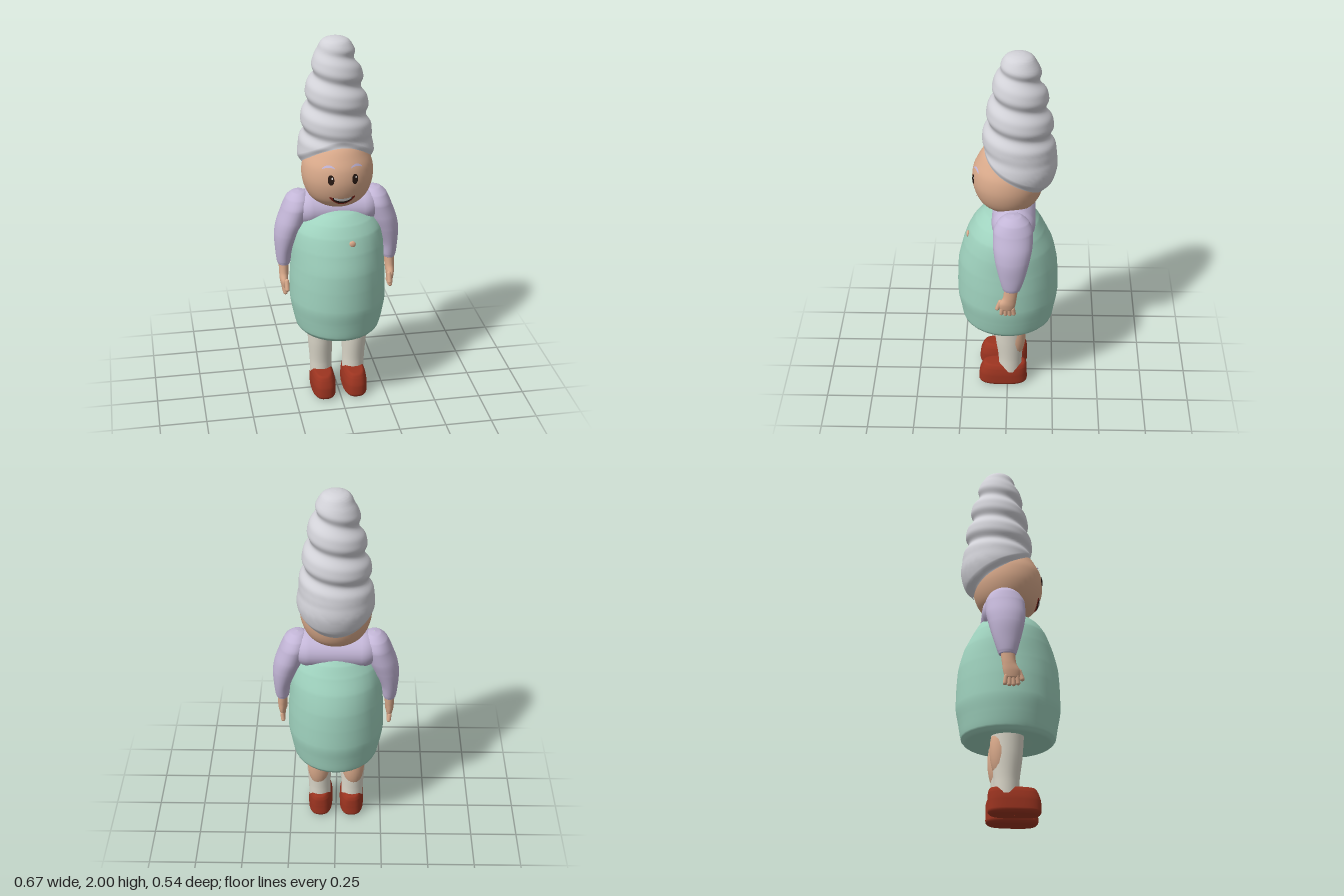
import * as THREE from 'three';
import { ParametricGeometry } from 'three/addons/geometries/ParametricGeometry.js';

const material = (name, color) => {
  const m = new THREE.MeshStandardMaterial({ color });
  m.name = name;
  return m;
};

// Smooth profile of [radius, y] points, with a lookup of radius by height
function makeProfile(points) {
  const pts = new THREE.SplineCurve(points.map(p => new THREE.Vector2(...p))).getPoints(90);
  const radius = y => {
    if (y <= pts[0].y) return pts[0].x;
    for (let i = 1; i < pts.length; i++) {
      const a = pts[i - 1], b = pts[i];
      if (y <= b.y) return a.x + (b.x - a.x) * (y - a.y) / Math.max(b.y - a.y, 1e-6);
    }
    return pts[pts.length - 1].x;
  };
  return { pts, radius };
}

// Surface through horizontal rings [x, y, z, rx, rz], listed bottom to top; power < 1 squares it
function loft(rings, sides = 28, power = 1) {
  const centres = new THREE.CatmullRomCurve3(rings.map(r => new THREE.Vector3(r[0], r[1], r[2])));
  const radii = new THREE.CatmullRomCurve3(rings.map(r => new THREE.Vector3(r[3], r[4], 0)));
  const c = new THREE.Vector3(), r = new THREE.Vector3();
  const bend = k => Math.sign(k) * Math.pow(Math.abs(k), power);
  return new ParametricGeometry((u, v, out) => {
    centres.getPoint(v, c);
    radii.getPoint(v, r);
    const a = u * Math.PI * 2;
    out.set(c.x + Math.max(r.x, 0.001) * bend(Math.sin(a)), c.y,
      c.z + Math.max(r.y, 0.001) * bend(Math.cos(a)));
  }, sides, rings.length * 5);
}

export function createModel() {
  const model = new THREE.Group();
  const hairMat = material('hair grey', 0xd2d2d8);
  const skin = material('skin', 0xdbab8c);
  const green = material('dress green', 0x9fd2be);
  const lilac = material('shirt lilac', 0xc3b6d7);
  const stocking = material('stocking cream', 0xdcd8ca);
  const shoeRed = material('shoe red', 0x9c3420);
  const dark = material('eye dark', 0x2a1a14);
  const lip = material('mouth red', 0x8e2a20);
  const white = material('teeth white', 0xf2f0ec);

  const add = (name, geometry, mat, parent = model) => {
    const mesh = new THREE.Mesh(geometry, mat);
    mesh.name = name;
    parent.add(mesh);
    return mesh;
  };

  // Head
  const headZ = -0.003;
  const head = makeProfile([[0.001, 1.113], [0.075, 1.123], [0.135, 1.16], [0.168, 1.21], [0.186, 1.28],
    [0.182, 1.35], [0.16, 1.405], [0.125, 1.46], [0.07, 1.495], [0.001, 1.505]]);
  add('head', new THREE.LatheGeometry(head.pts, 40), skin).position.z = headZ;

  // Tall coiled hair, with a hairline that dips towards the nape
  const hair = makeProfile([[0.135, 1.235], [0.16, 1.265], [0.184, 1.31], [0.2, 1.38], [0.193, 1.45], [0.18, 1.51],
    [0.17, 1.6], [0.152, 1.7], [0.133, 1.8], [0.108, 1.89], [0.094, 1.94], [0.07, 1.98], [0.035, 1.996], [0.001, 2]]);
  const ramp = THREE.MathUtils.smoothstep;
  add('hair', new ParametricGeometry((u, v, out) => {
    const a = u * Math.PI * 2, c = Math.cos(a);
    const edge = 1.335 + 0.095 * c + 0.03 * Math.pow(Math.max(c, 0), 4);
    const y = edge + (2 - edge) * (1 - Math.pow(1 - v, 1.5));
    const coil = 0.012 * ramp(y, 1.42, 1.54) * (1 - ramp(y, 1.88, 1.97));
    const phase = Math.PI * 2 * (y - 1.775) / 0.15 + a;
    const wave = Math.cos(phase) + 0.25 * Math.cos(2 * phase);
    const r = (hair.radius(y) - coil * wave) * (0.93 + 0.07 * ramp(v, 0, 0.045));
    out.set(r * Math.sin(a), y, -0.055 + r * c);
  }, 64, 110), hairMat);

  // Thin face details curved over the head: t runs 0..1 from x0 to x1
  const face = (name, x0, x1, low, high, mat, lift) =>
    add(name, new ParametricGeometry((u, v, out) => {
      const x = x0 + (x1 - x0) * u;
      const y = low(u) + (high(u) + 0.0005 - low(u)) * v;
      const r = head.radius(y);
      out.set(x, y, headZ + lift + Math.sqrt(Math.max(r * r - x * x, 0)));
    }, 20, 5), mat);
  const oval = (name, x, y, rx, ry, mat, lift) => {
    const h = t => ry * Math.sqrt(Math.max(0, 1 - (2 * t - 1) ** 2));
    face(name, x - rx, x + rx, t => y - h(t), t => y + h(t), mat, lift);
  };
  const arc = t => 4 * t * (1 - t);
  for (const s of [-1, 1]) {
    oval('eye', s * 0.062, 1.315, 0.016, 0.027, dark, 0.004);
    oval('eyeGlint', s * 0.062 + 0.005, 1.325, 0.004, 0.006, white, 0.006);
    const tilt = t => 1.372 + 0.008 * arc(t) - 0.004 * s * (t - 0.5);
    face('eyebrow', s * 0.072 - 0.031, s * 0.072 + 0.031, t => tilt(t) - 0.001,
      t => tilt(t) + 0.003 + 0.007 * arc(t), lilac, 0.007);
  }
  const smile = t => 1.213 - 0.012 * arc(t);
  face('lips', -0.066, 0.066, t => 1.208 - 0.042 * arc(t), t => smile(t) + 0.004, lip, 0.003);
  face('mouthOpening', -0.05, 0.05, t => 1.199 - 0.024 * arc(t), smile, dark, 0.0045);
  face('teeth', -0.045, 0.045, t => 1.203 - 0.014 * arc(t), t => smile(t) + 0.006 * arc(t), white, 0.006);

  // Dress and its button
  add('dress', loft([
    [0, 0.43, 0, 0.002, 0.002], [0, 0.412, 0, 0.12, 0.13], [0, 0.405, 0, 0.2, 0.215], [0, 0.425, 0, 0.225, 0.242],
    [0, 0.5, 0, 0.243, 0.256], [0, 0.6, 0, 0.257, 0.271], [0, 0.7, 0, 0.256, 0.269], [0, 0.8, 0, 0.25, 0.262],
    [0, 0.9, 0, 0.244, 0.238], [0, 0.99, 0.005, 0.226, 0.2], [0, 1.05, 0.003, 0.182, 0.165],
    [0, 1.09, 0, 0.12, 0.125], [0, 1.105, 0, 0.06, 0.07], [0, 1.108, 0, 0.002, 0.002],
  ], 30), green);
  const button = add('button', new THREE.SphereGeometry(0.018, 16, 12), skin);
  button.scale.z = 0.5;
  button.position.set(0.043, 0.965, 0.209);

  // Shirt yoke across the shoulders
  const yoke = new THREE.CapsuleGeometry(0.1, 0.27, 8, 24);
  yoke.rotateZ(Math.PI / 2);
  yoke.scale(1, 0.98, 1.14);
  add('shirtYoke', yoke, lilac).position.set(0, 1.09, -0.032);

  for (const s of [-1, 1]) {
    const side = new THREE.Group();
    side.name = s > 0 ? 'leftLimbs' : 'rightLimbs';
    model.add(side);

    // Sleeve
    add('sleeve', loft([
      [s * 0.285, 0.79, -0.025, 0.002, 0.002], [s * 0.286, 0.778, -0.025, 0.03, 0.042],
      [s * 0.286, 0.79, -0.025, 0.036, 0.048], [s * 0.285, 0.86, -0.027, 0.045, 0.068],
      [s * 0.267, 0.95, -0.028, 0.067, 0.09], [s * 0.242, 1.03, -0.03, 0.076, 0.102],
      [s * 0.218, 1.1, -0.031, 0.074, 0.102], [s * 0.205, 1.155, -0.032, 0.062, 0.078],
      [s * 0.2, 1.183, -0.032, 0.035, 0.042], [s * 0.2, 1.19, -0.032, 0.002, 0.002],
    ]), lilac, side);

    // Hand with fingers and thumb
    add('hand', loft([
      [s * 0.288, 0.645, 0, 0.002, 0.002], [s * 0.288, 0.652, 0, 0.015, 0.035], [s * 0.289, 0.69, -0.004, 0.022, 0.043],
      [s * 0.288, 0.73, -0.016, 0.025, 0.036], [s * 0.286, 0.8, -0.024, 0.028, 0.036],
    ], 20), skin, side);
    for (let i = 0; i < 4; i++) {
      const finger = add('finger', new THREE.CapsuleGeometry(0.0115, 0.035, 4, 10), skin, side);
      finger.position.set(s * 0.288, 0.642 - 0.006 * Math.sin(i), 0.026 - i * 0.02);
      finger.rotation.set((i - 1.5) * 0.1, 0, -s * 0.12);
    }
    const thumb = add('thumb', new THREE.CapsuleGeometry(0.012, 0.045, 4, 10), skin, side);
    thumb.position.set(s * 0.278, 0.672, 0.042);
    thumb.rotation.x = -0.35;

    // Stocking leg with a bare calf behind
    add('leg', loft([
      [s * 0.09, 0.1, -0.015, 0.06, 0.062], [s * 0.091, 0.18, -0.015, 0.061, 0.065],
      [s * 0.094, 0.3, -0.012, 0.067, 0.077], [s * 0.096, 0.45, -0.01, 0.072, 0.085],
    ], 24), stocking, side);
    const calf = add('bareCalf', new THREE.SphereGeometry(1, 24, 18), skin, side);
    calf.scale.set(0.061, 0.15, 0.056);
    calf.position.set(s * 0.095, 0.335, -0.044);

    // Rounded slipper
    add('shoe', loft([
      [s * 0.087, 0.003, 0.025, 0.002, 0.002], [s * 0.087, 0.004, 0.025, 0.05, 0.115],
      [s * 0.087, 0.025, 0.025, 0.066, 0.134], [s * 0.087, 0.075, 0.024, 0.066, 0.132],
      [s * 0.088, 0.115, 0.018, 0.059, 0.125], [s * 0.089, 0.138, 0.014, 0.046, 0.112],
      [s * 0.089, 0.141, 0.01, 0.002, 0.002],
    ], 32, 0.72), shoeRed, side);
  }
  return model;
}
